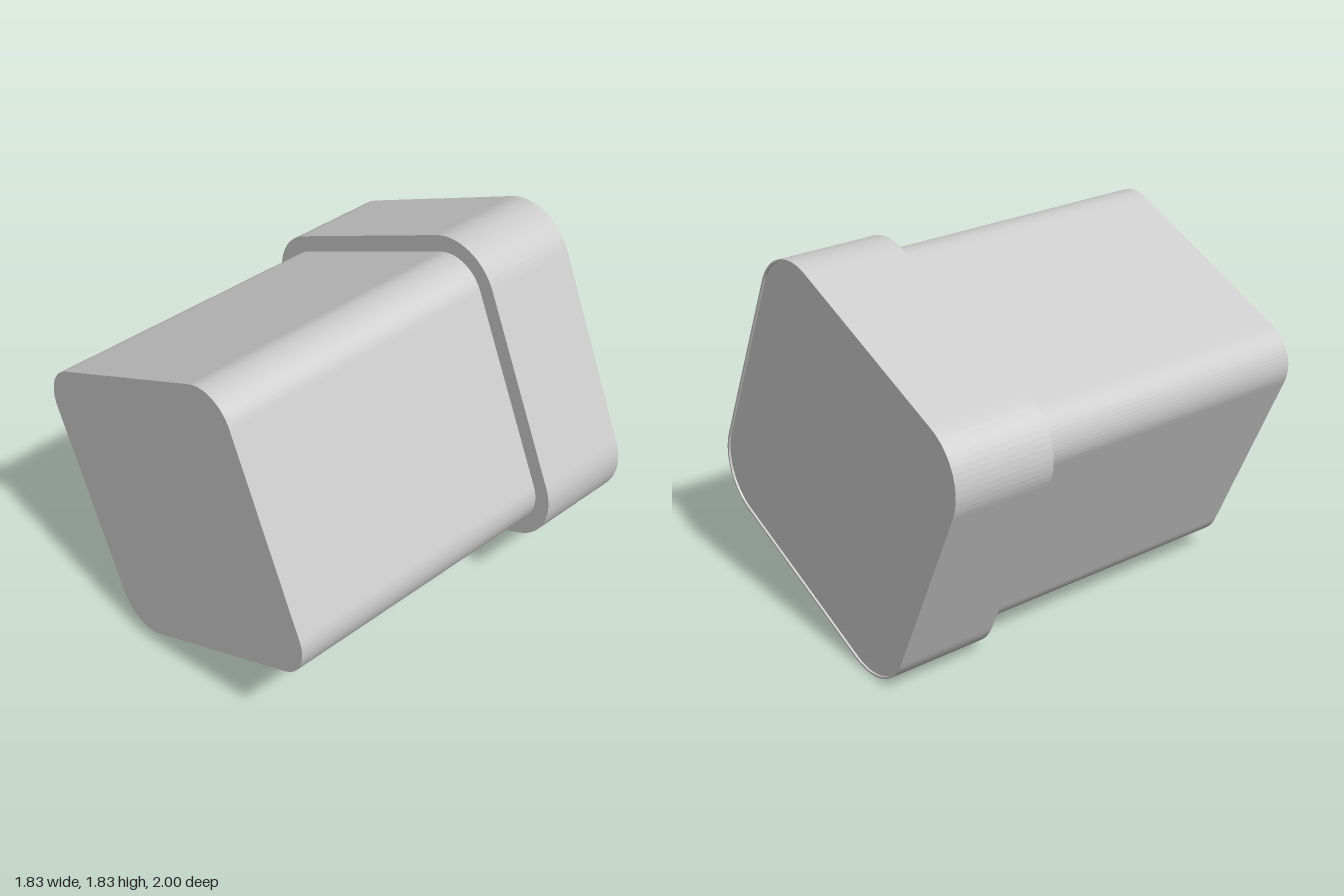
import * as THREE from 'three';

const TILT = THREE.MathUtils.degToRad(24);
const CORNER = 0.49; // corner arc centres, shared by every outline

// Rounded square whose corner arcs have radius r
function roundedSquare(r, Type = THREE.Shape) {
  const s = new Type();
  for (let i = 0; i < 4; i++) {
    const a = i * Math.PI / 2, m = a + Math.PI / 4;
    s.absarc(CORNER * Math.SQRT2 * Math.cos(m), CORNER * Math.SQRT2 * Math.sin(m), r, a, a + Math.PI / 2, false);
  }
  s.closePath();
  return s;
}

export function createModel() {
  const model = new THREE.Group();
  model.name = 'squarePlug';
  const material = new THREE.MeshStandardMaterial({ color: 0xcccccc });

  // Straight prism between two depths
  const addPrism = (name, shape, z0, z1) => {
    const geometry = new THREE.ExtrudeGeometry(shape, { depth: z1 - z0, bevelEnabled: false, curveSegments: 8 });
    const mesh = new THREE.Mesh(geometry, material);
    mesh.name = name;
    mesh.position.z = z0;
    model.add(mesh);
  };

  // Long shaft and wider head
  addPrism('shaft', roundedSquare(0.19), -0.5, 1);
  addPrism('head', roundedSquare(0.27), -0.99, -0.49);

  // Thin raised lip around the back of the head
  const lip = roundedSquare(0.27);
  lip.holes.push(roundedSquare(0.26, THREE.Path));
  addPrism('backLip', lip, -1, -0.99);

  // Tilt about the long axis and rest on the ground
  model.rotation.z = TILT;
  model.position.y = CORNER * (Math.sin(TILT) + Math.cos(TILT)) + 0.27;
  return model;
}
